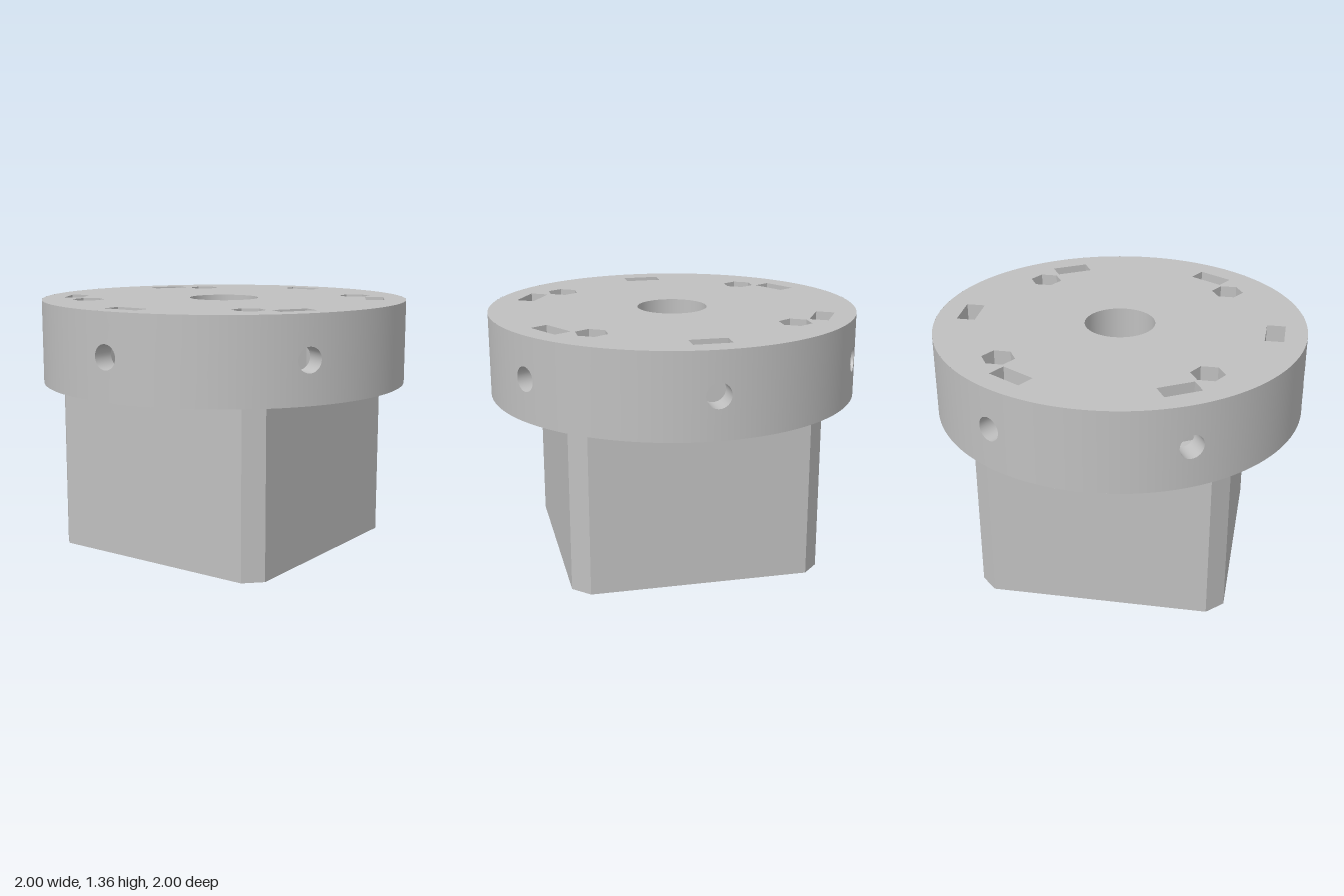
import * as THREE from 'three';
import { mergeGeometries, toCreasedNormals } from 'three/addons/utils/BufferGeometryUtils.js';

const BOTTOM = 0.905, TOP = 1.355;          // flange faces
const BORE = 0.19, CAVITY = 0.6;            // shaft bore and wide lower cavity
const BOLT = 0.05, BOLT_AT = 0.53;          // corner bolt holes
const HEX = 0.088, HEX_FLOOR = 1.235;       // nut pockets
const SLOT_IN = 0.78, SLOT_OUT = 0.88, SLOT_HALF = 0.1, SLOT_FLOOR = 1.03;
const SCREW = 0.065, SCREW_Y = 1.13;        // radial screw holes
const PANEL = 0.085;                        // half angle of a pierced rim panel

const corners = [[1, 1], [-1, 1], [-1, -1], [1, -1]].map(([x, z]) => [x * BOLT_AT, z * BOLT_AT]);

// Regular outline: many sides for a circle, six for a hexagon
function ring(x, y, r, sides) {
  const pts = [];
  for (let i = 0; i < sides; i++) {
    const a = (i / sides) * Math.PI * 2;
    pts.push(new THREE.Vector2(x + r * Math.cos(a), y + r * Math.sin(a)));
  }
  return pts;
}

function pierced(outline, holes) {
  const shape = new THREE.Shape(outline);
  for (const h of holes) shape.holes.push(new THREE.Path(h));
  return shape;
}

// Horizontal face at height y
function flatFace(outline, holes, y, up = true) {
  const g = new THREE.ShapeGeometry(pierced(outline, holes));
  return g.rotateX(up ? -Math.PI / 2 : Math.PI / 2).translate(0, y, 0);
}

// Open vertical tube wall
function tube(r, y0, y1, sides, start = 0, length = Math.PI * 2) {
  return new THREE.CylinderGeometry(r, r, y1 - y0, sides, 1, true, start, length)
    .translate(0, (y0 + y1) / 2, 0);
}

// Rim panel with a screw hole, wrapped onto the cylinder around +x
function rimPanel() {
  const outline = [];
  const steps = 8;
  for (let i = 0; i <= steps; i++) outline.push(new THREE.Vector2(-PANEL + 2 * PANEL * i / steps, BOTTOM));
  for (let i = steps; i >= 0; i--) outline.push(new THREE.Vector2(-PANEL + 2 * PANEL * i / steps, TOP));
  const hole = ring(0, SCREW_Y, SCREW, 32).map(p => new THREE.Vector2(Math.asin(p.x), p.y));
  const g = new THREE.ShapeGeometry(pierced(outline, [hole]));
  const pos = g.attributes.position, nor = g.attributes.normal;
  for (let i = 0; i < pos.count; i++) {
    const a = pos.getX(i);
    pos.setXYZ(i, Math.cos(a), pos.getY(i), -Math.sin(a));
    nor.setXYZ(i, Math.cos(a), 0, -Math.sin(a));
  }
  return g;
}

// Screw hole wall from the slot to the curved rim
function screwHole() {
  const g = new THREE.CylinderGeometry(SCREW, SCREW, 1, 32, 1, true).rotateZ(-Math.PI / 2);
  const pos = g.attributes.position;
  for (let i = 0; i < pos.count; i++) {
    const z = pos.getZ(i);
    pos.setX(i, pos.getX(i) > 0 ? Math.sqrt(1 - z * z) : SLOT_OUT);
  }
  return g.translate(0, SCREW_Y, 0);
}

// Slot walls: a box without its top and outer sides, plus a pierced outer wall
function slotWalls() {
  const box = new THREE.BoxGeometry(SLOT_OUT - SLOT_IN, TOP - SLOT_FLOOR, SLOT_HALF * 2)
    .translate((SLOT_IN + SLOT_OUT) / 2, (TOP + SLOT_FLOOR) / 2, 0);
  const index = Array.from(box.index.array);
  box.setIndex(index.filter((_, i) => i >= 6 && !(i >= 12 && i < 18)));
  box.clearGroups();
  const outline = [[-SLOT_HALF, SLOT_FLOOR], [SLOT_HALF, SLOT_FLOOR], [SLOT_HALF, TOP], [-SLOT_HALF, TOP]]
    .map(p => new THREE.Vector2(...p));
  const outer = new THREE.ShapeGeometry(pierced(outline, [ring(0, SCREW_Y, SCREW, 32)]))
    .rotateY(Math.PI / 2).translate(SLOT_OUT, 0, 0);
  return mergeGeometries([box, outer]);
}

export function createModel() {
  const model = new THREE.Group();
  model.name = 'flangedHub';
  const grey = new THREE.MeshStandardMaterial({ color: 0xc0c0c0, side: THREE.DoubleSide });
  grey.name = 'grey';
  const add = (name, geometry, parent = model) => {
    const mesh = new THREE.Mesh(geometry, grey);
    mesh.name = name;
    parent.add(mesh);
    return mesh;
  };

  // Square base with chamfered corners, round cavity and bolt holes
  const s = 0.672, c = 0.585;
  const square = [[s, -c], [s, c], [c, s], [-c, s], [-s, c], [-s, -c], [-c, -s], [c, -s]]
    .map(p => new THREE.Vector2(...p));
  const boltRings = corners.map(([x, z]) => ring(x, z, BOLT, 32));
  const base = new THREE.ExtrudeGeometry(
    pierced(square, [ring(0, 0, CAVITY, 96), ...boltRings]),
    { depth: BOTTOM, bevelEnabled: false }).rotateX(-Math.PI / 2);
  add('squareBase', toCreasedNormals(base, 0.4));

  // Flange faces and shaft bore
  const slotOutlines = [];
  for (let k = 0; k < 6; k++) {
    const a = k * Math.PI / 3;
    slotOutlines.push([[SLOT_IN, -SLOT_HALF], [SLOT_OUT, -SLOT_HALF], [SLOT_OUT, SLOT_HALF], [SLOT_IN, SLOT_HALF]]
      .map(p => new THREE.Vector2(...p).rotateAround(new THREE.Vector2(), a)));
  }
  const disc = ring(0, 0, 1, 120);
  const bore = ring(0, 0, BORE, 64);
  const hexRings = corners.map(([x, z]) => ring(x, z, HEX, 6));
  add('flangeTop', flatFace(disc, [bore, ...hexRings, ...slotOutlines], TOP));
  add('flangeUnderside', flatFace(disc, [bore, ...boltRings], BOTTOM, false));
  add('shaftBore', tube(BORE, BOTTOM, TOP, 64));

  // Nut pockets above the corner bolt holes
  corners.forEach(([x, z]) => {
    const pocket = new THREE.Group();
    pocket.name = 'nutPocket';
    pocket.position.set(x, 0, z);
    model.add(pocket);
    const walls = tube(HEX, HEX_FLOOR, TOP, 6, Math.PI / 2).toNonIndexed();
    walls.computeVertexNormals();
    add('pocketWalls', walls, pocket);
    add('pocketFloor', flatFace(ring(0, 0, HEX, 6), [ring(0, 0, BOLT, 32)], HEX_FLOOR), pocket);
    add('boltHole', tube(BOLT, BOTTOM, HEX_FLOOR, 32), pocket);
  });

  // Six rim sectors, each with a radial screw hole leading into a slot
  const parts = {
    rimPanel: rimPanel(),
    rimArc: tube(1, BOTTOM, TOP, 20, Math.PI / 2 + PANEL, Math.PI / 3 - 2 * PANEL),
    screwHole: screwHole(),
    nutSlot: slotWalls(),
  };
  for (let k = 0; k < 6; k++) {
    const sector = new THREE.Group();
    sector.name = 'rimSector';
    sector.rotation.y = k * Math.PI / 3;
    model.add(sector);
    for (const [name, geometry] of Object.entries(parts)) add(name, geometry, sector);
  }
  return model;
}
